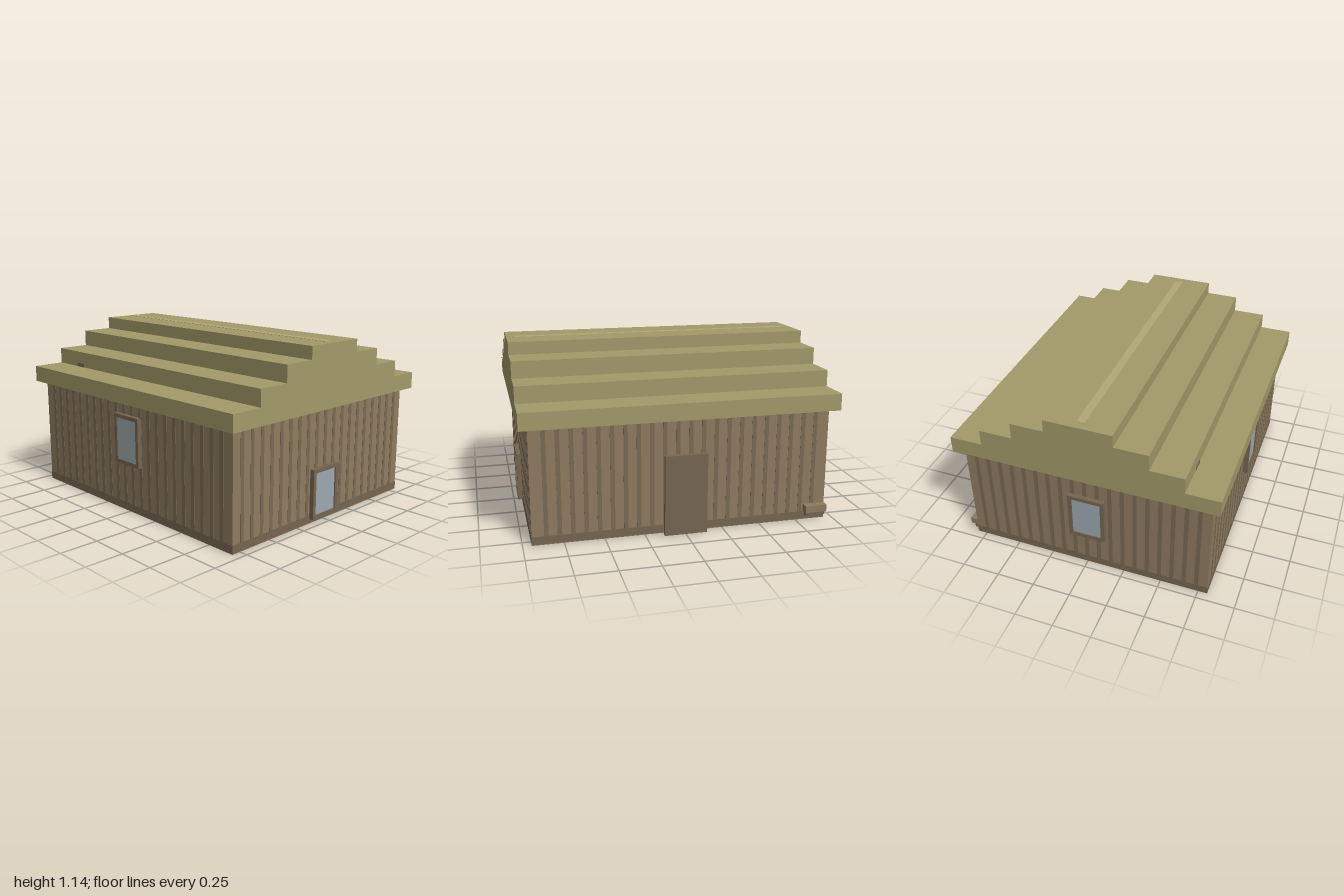
import * as THREE from 'three';

const mat = (color) => new THREE.MeshStandardMaterial({ color });
const wallMat = mat(0x8f7c60), battenMat = mat(0x796a53), trimMat = mat(0x766650);
const roofMat = mat(0xa39a69), ridgeMat = mat(0xb0a878), glassMat = mat(0x9ca8b0);
const doorMat = mat(0x7d6a56);

const W = 0.945, D = 0.81, H = 0.735; // wall half width, half depth, height

// Box given by its minimum and maximum corners
function box(name, material, [x0, y0, z0], [x1, y1, z1]) {
  const mesh = new THREE.Mesh(new THREE.BoxGeometry(x1 - x0, y1 - y0, z1 - z0), material);
  mesh.position.set((x0 + x1) / 2, (y0 + y1) / 2, (z0 + z1) / 2);
  mesh.name = name;
  return mesh;
}

// Framed window facing +z, its lower edge at y = 0
function windowUnit(name) {
  const g = new THREE.Group();
  g.name = name;
  const w = 0.12, h = 0.325, t = 0.025, d = 0.03;
  const frame = new THREE.Shape([[-w, 0], [w, 0], [w, h], [-w, h]].map((p) => new THREE.Vector2(...p)));
  frame.holes.push(new THREE.Path(
    [[t - w, t], [t - w, h - t], [w - t, h - t], [w - t, t]].map((p) => new THREE.Vector2(...p))));
  const mesh = new THREE.Mesh(new THREE.ExtrudeGeometry(frame, { depth: d, bevelEnabled: false }), trimMat);
  mesh.name = 'windowFrame';
  g.add(mesh, box('windowPane', glassMat, [t - w, t, 0], [w - t, h - t, d - 0.008]));
  return g;
}

// Evenly spaced vertical battens on one wall, facing +z
function battens(name, half) {
  const g = new THREE.Group();
  g.name = name;
  const count = Math.round((2 * half) / 0.0815);
  for (let i = 0; i <= count; i++) {
    const x = -half + (2 * half * i) / count;
    g.add(box('batten', battenMat, [x - 0.0135, 0.055, -0.002], [x + 0.0135, H, 0.002]));
  }
  return g;
}

export function createModel() {
  const model = new THREE.Group();
  model.name = 'cabin';

  // Walls with a flush skirting band
  model.add(box('walls', wallMat, [-W, 0, -D], [W, H, D]));
  const e = 0.0015;
  model.add(box('skirting', trimMat, [-W - e, 0.004, -D - e], [W + e, 0.055, D + e]));

  // Battens on all four sides
  for (let i = 0; i < 4; i++) {
    const onSide = i % 2 === 1;
    const row = battens('wallBattens', onSide ? 0.736 : 0.856);
    const a = (i * Math.PI) / 2, r = onSide ? W : D;
    row.rotation.y = a;
    row.position.set(Math.sin(a) * r, 0, Math.cos(a) * r);
    model.add(row);
  }

  // Stepped roof, extruded along x
  const steps = [[0.865, 0.84], [0.65, 0.946], [0.434, 1.054], [0.217, 1.136]];
  const side = [];
  let y = 0.732;
  for (const [z, top] of steps) {
    side.push([z, y], [z, top]);
    y = top;
  }
  const outline = [...side, ...side.slice().reverse().map(([z, h]) => [-z, h])];
  const roofGeo = new THREE.ExtrudeGeometry(
    new THREE.Shape(outline.map((p) => new THREE.Vector2(...p))), { depth: 2, bevelEnabled: false });
  roofGeo.translate(0, 0, -1).rotateY(Math.PI / 2);
  const roof = new THREE.Mesh(roofGeo, roofMat);
  roof.name = 'steppedRoof';
  model.add(roof);
  model.add(box('ridgeStrip', ridgeMat, [-W, 1.12, -0.027], [W, 1.138, 0.025]));
  model.add(box('roofVent', battenMat, [-0.785, 0.838, 0.64], [-0.705, 0.866, 0.653]));

  // Windows: front, +x side, -x side
  const front = windowUnit('frontWindow');
  front.position.set(0.015, 0.325, D);
  const left = windowUnit('leftWindow');
  left.position.set(W, 0.03, 0.015);
  left.rotation.y = Math.PI / 2;
  const right = windowUnit('rightWindow');
  right.position.set(-W, 0.245, 0.015);
  right.rotation.y = -Math.PI / 2;
  model.add(front, left, right);

  // Back door: frame with a larger slab over it
  model.add(box('doorFrame', doorMat, [-0.11, 0.002, -0.84], [0.11, 0.49, -D]));
  model.add(box('doorSlab', trimMat, [-0.135, 0.002, -0.865], [0.135, 0.515, -0.84]));

  // Small ledge at the back corner
  model.add(box('ledgeBracket', trimMat, [-0.94, 0.03, -0.835], [-0.81, 0.085, -D]));
  model.add(box('ledge', wallMat, [-0.943, 0.06, -0.86], [-0.8, 0.105, -D]));

  return model;
}
